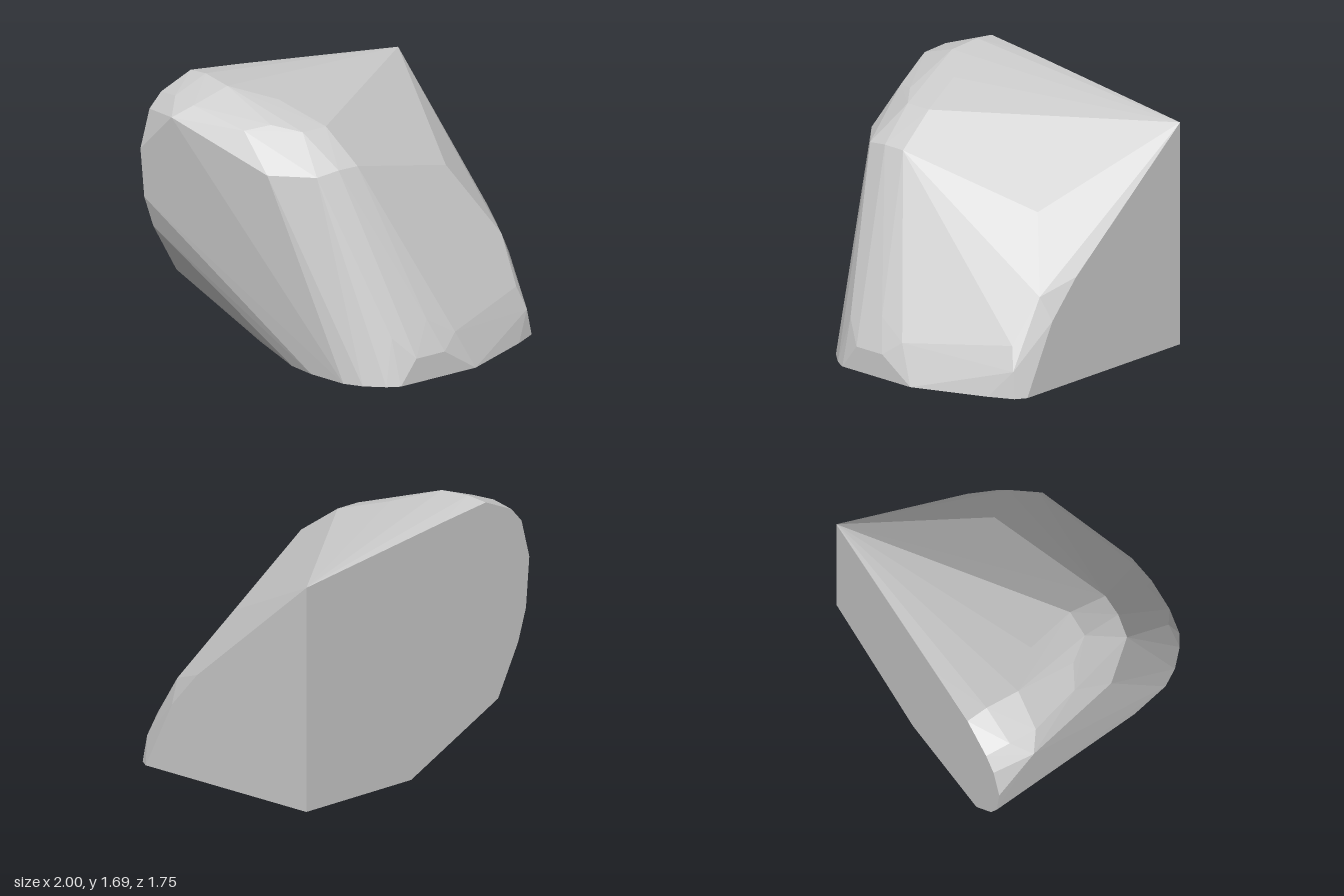
import * as THREE from 'three';
import { ConvexGeometry } from 'three/addons/geometries/ConvexGeometry.js';

// Faceted boulder: the convex hull of a few groups of corner points.
export function createModel() {
  const v = (x, y, z) => new THREE.Vector3(x, y, z);
  const back = -0.875, front = 0.875;

  // Flat back face, outline in x, y
  const backFace = [
    [1, 0], [1, 1.47], [-0.22, 1.625], [-0.61, 1.67], [-0.84, 1.575], [-0.93, 1.48],
    [-1, 1.23], [-0.97, 0.9], [-0.9, 0.69], [-0.72, 0.36], [0.06, 0],
  ].map(([x, y]) => v(x, y, back));

  // Flat underside, outline in x, z
  const underside = [
    [-0.49, -0.3], [-0.59, 0.17], [-0.58, 0.36], [-0.52, 0.62], [-0.45, 0.73], [-0.34, 0.83],
    [-0.26, front], [0.32, front], [0.8, 0.68], [0.955, 0.6], [1, 0.53],
  ].map(([x, z]) => v(x, 0, z));

  // Flat left side, outline in y, z
  const leftSide = [[0.69, 0.08], [0.45, 0.3]].map(([y, z]) => v(1, y, z));

  // Rounded crown and its shoulder
  const crown = [
    v(-0.6, 1.687, -0.73), v(-0.6, 1.672, -0.5), v(-0.85, 1.6, -0.71), v(-0.85, 1.59, -0.52),
    v(-0.96, 1.51, -0.6), v(-0.37, 1.6, -0.27), v(-0.72, 1.5, -0.16), v(-0.57, 1.53, -0.08),
    v(-0.44, 1.5, 0.08), v(-0.26, 1.5, 0.08),
    v(-0.73, 1.28, 0.1), v(-0.52, 1.29, 0.34), v(-0.37, 1.315, 0.365), v(-0.22, 1.31, 0.36),
  ];

  // Sloping front and worn lower corner
  const slope = [
    v(0.67, 1.04, 0.08), v(0.92, 0.6, 0.33), v(0.88, 0.32, 0.54), v(0.93, 0.17, 0.585),
    v(-0.27, 0.3, 0.79), v(0, 0.37, 0.79), v(0.2, 0.25, 0.82),
    v(-0.14, 0.16, front), v(0.08, 0.16, front),
  ];

  const rock = new THREE.Mesh(
    new ConvexGeometry([...backFace, ...underside, ...leftSide, ...crown, ...slope]),
    new THREE.MeshStandardMaterial({ color: 0xcccccc, flatShading: true })
  );
  rock.name = 'boulder';

  const group = new THREE.Group();
  group.name = 'rock';
  group.add(rock);
  return group;
}
